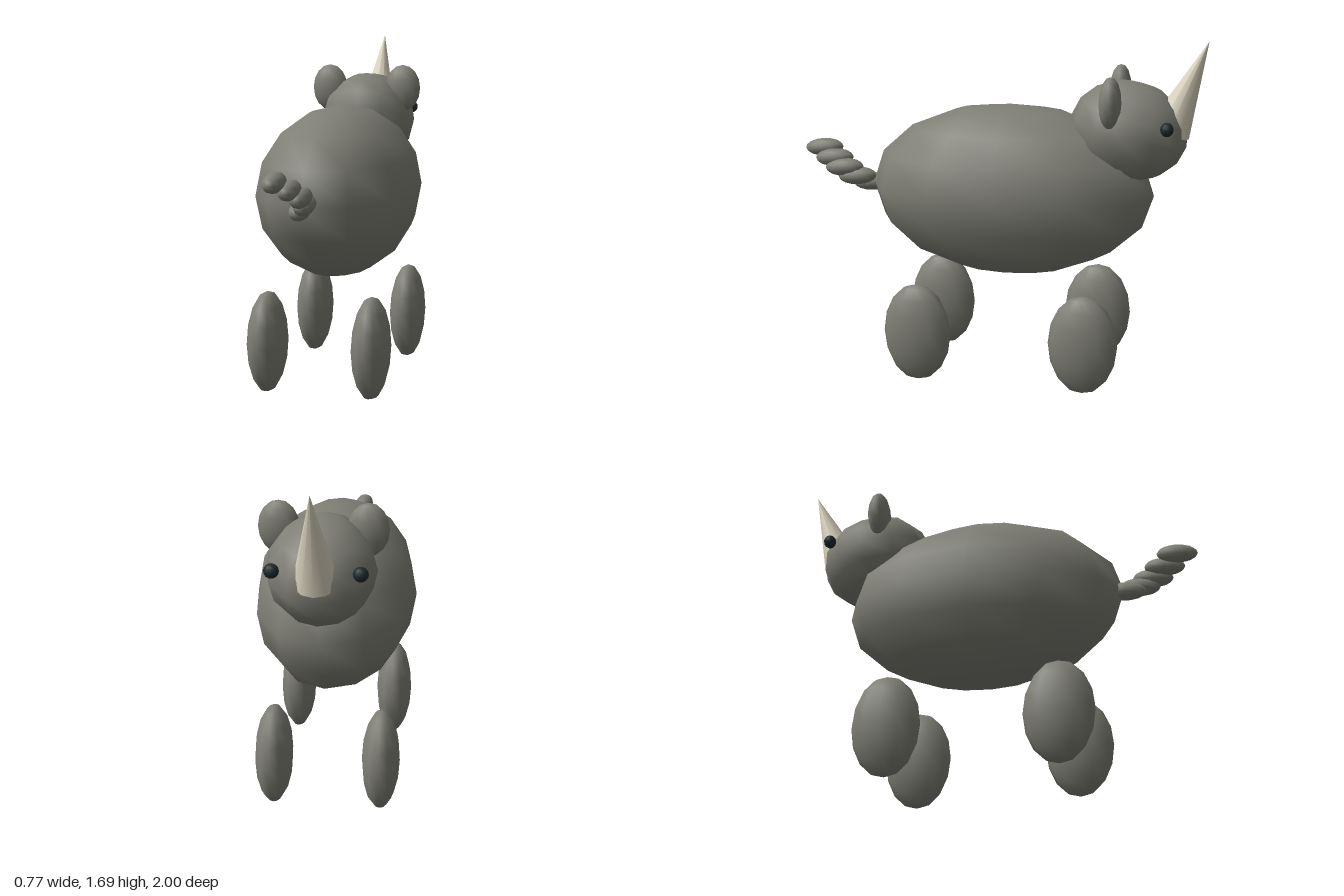
import * as THREE from 'three';

const material = (name, color) => {
  const m = new THREE.MeshStandardMaterial({ color });
  m.name = name;
  return m;
};

export function createModel() {
  const hide = material('grey hide', 0x7f7f76);
  const ivory = material('ivory horn', 0xdad3be);
  const dark = material('dark eye', 0x1e2a2d);
  const model = new THREE.Group();
  model.name = 'rhinoceros';

  // All rounded parts are stretched low-segment balls with smooth normals
  const ball = new THREE.SphereGeometry(1, 12, 8);
  const blob = (name, mat, position, radii, tiltX = 0) => {
    const mesh = new THREE.Mesh(ball, mat);
    mesh.name = name;
    mesh.position.set(...position);
    mesh.scale.set(...radii);
    mesh.rotation.x = tiltX;
    model.add(mesh);
    return mesh;
  };

  // Barrel body, and a head with the snout tipped down
  blob('body', hide, [0, 0.94, -0.07], [0.385, 0.42, 0.7]);
  blob('head', hide, [0, 1.255, -0.64], [0.245, 0.237, 0.283], -0.24);

  // Mirrored legs, ears and eyes
  for (const [side, s] of [['left', 1], ['right', -1]]) {
    blob(`${side}HindLeg`, hide, [s * 0.255, 0.25, 0.345], [0.09, 0.247, 0.168]);
    blob(`${side}ForeLeg`, hide, [s * 0.255, 0.25, -0.475], [0.09, 0.247, 0.168]);
    blob(`${side}Ear`, hide, [s * 0.197, 1.418, -0.573], [0.093, 0.121, 0.053]);
    blob(`${side}Eye`, dark, [s * 0.19, 1.305, -0.836], [0.034, 0.033, 0.031]);
  }

  // Horn leaning forward from the snout
  const horn = new THREE.Mesh(new THREE.ConeGeometry(0.1, 0.46, 12), ivory);
  horn.name = 'horn';
  horn.position.set(0, 1.476, -0.916);
  horn.rotation.x = -0.377;
  model.add(horn);

  // Curling tail of overlapping beads
  const tail = [
    [0, 0.937, 0.64], [0.04, 0.972, 0.705], [0.042, 1.013, 0.77],
    [0.01, 1.053, 0.832], [-0.035, 1.093, 0.9],
  ];
  tail.forEach((p, i) => blob(`tailBead${i + 1}`, hide, p, [0.046, 0.044, 0.1], 0.08));

  return model;
}
